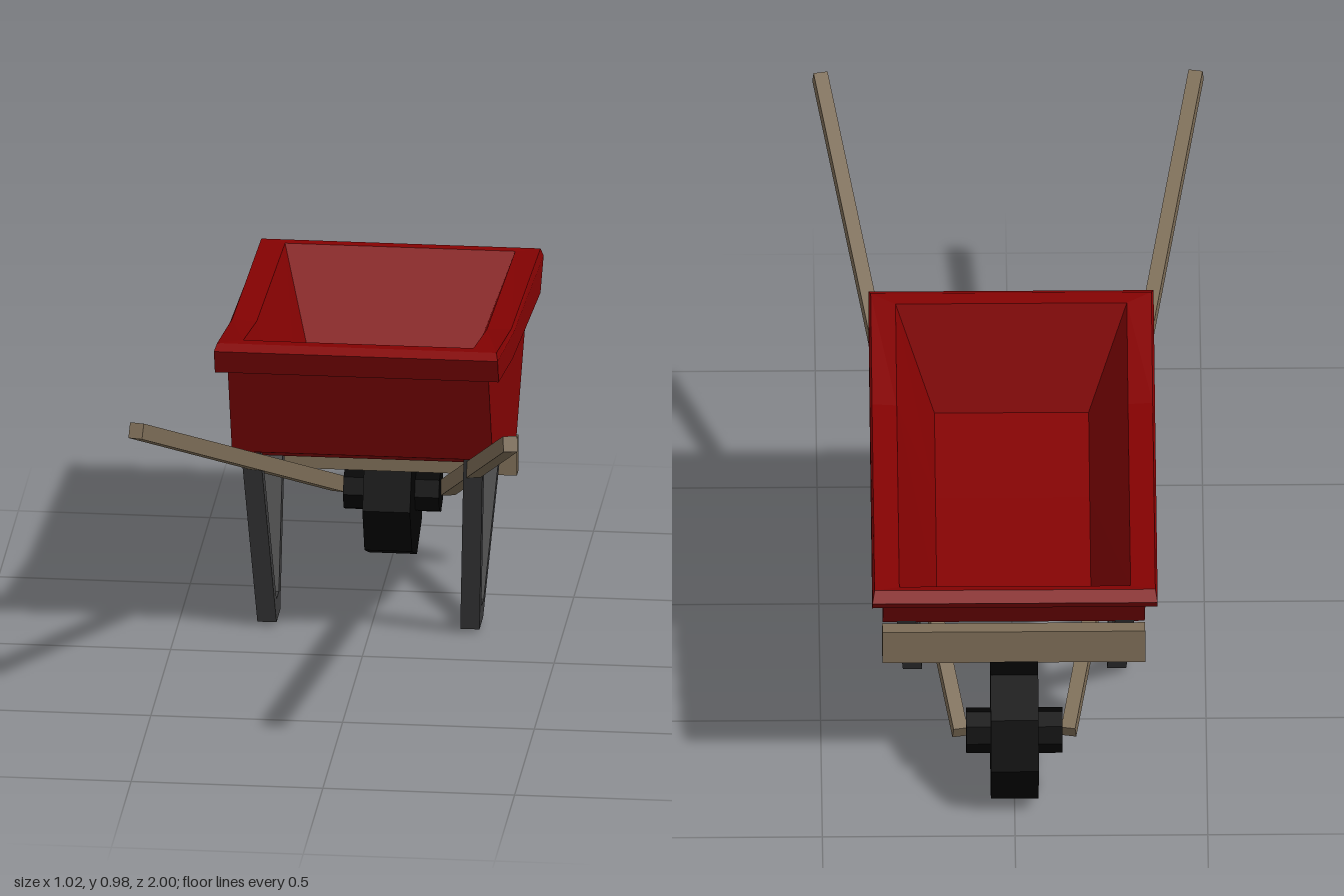
import * as THREE from 'three';

const material = (color) => new THREE.MeshStandardMaterial({ color, flatShading: true });
const red = material(0x840202);
const wood = material(0x7d6d57);
const metal = material(0x3a3a3b);
const rubber = material(0x030303);

function addMesh(parent, name, geometry, mat) {
  const mesh = new THREE.Mesh(geometry, mat);
  mesh.name = name;
  parent.add(mesh);
  return mesh;
}

// Tray: six-cornered rings running from the underside, around the lip and down to the inner floor.
// Each ring is a half width followed by [z, y] at the front, the kink and the back.
function trayGeometry() {
  const rings = [
    [0.34, [0, 0.555], [-0.21, 0.47], [-0.59, 0.388]],
    [0.34, [0.11, 0.825], [-0.22, 0.762], [-0.893, 0.7]],
    [0.37, [0.14, 0.823], [-0.22, 0.758], [-0.92, 0.684]],
    [0.37, [0.167, 0.89], [-0.24, 0.822], [-1.0, 0.758]],
    [0.364, [0.14, 0.904], [-0.24, 0.832], [-0.978, 0.785]],
    [0.3, [0.1, 0.9], [-0.24, 0.828], [-0.958, 0.782]],
    [0.2, [0, 0.62], [-0.3, 0.57], [-0.688, 0.525]],
  ];
  const positions = [];
  const index = [];
  for (const [w, front, kink, back] of rings) {
    for (const p of [front, kink, back]) positions.push(w, p[1], p[0]);
    for (const p of [back, kink, front]) positions.push(-w, p[1], p[0]);
  }
  const quad = (a, b, c, d) => index.push(a, b, c, a, c, d);
  for (let r = 0; r < rings.length - 1; r++) {
    for (let i = 0; i < 6; i++) {
      const j = (i + 1) % 6;
      quad(r * 6 + i, r * 6 + j, r * 6 + 6 + j, r * 6 + 6 + i);
    }
  }
  // Underside and inner floor, two panels each
  quad(0, 5, 4, 1);
  quad(1, 4, 3, 2);
  const f = (rings.length - 1) * 6;
  quad(f, f + 1, f + 4, f + 5);
  quad(f + 1, f + 2, f + 3, f + 4);

  const geometry = new THREE.BufferGeometry();
  geometry.setAttribute('position', new THREE.Float32BufferAttribute(positions, 3));
  geometry.setIndex(index);
  const flat = geometry.toNonIndexed();
  flat.computeVertexNormals();
  return flat;
}

// V-shaped leg profile in [z, y], extruded across x and leaning outwards with height
function legGeometry(side) {
  const outline = [
    [-0.03, 0.565], [-0.203, 0.012], [-0.297, 0.012], [-0.602, 0.4],
    [-0.55, 0.4], [-0.287, 0.066], [-0.229, 0.066], [-0.074, 0.565],
  ];
  const shape = new THREE.Shape(outline.map(([z, y]) => new THREE.Vector2(-z, y)));
  const geometry = new THREE.ExtrudeGeometry(shape, { depth: 0.05, bevelEnabled: false });
  geometry.translate(0, 0, -0.025);
  geometry.rotateY(Math.PI / 2);
  const pos = geometry.attributes.position;
  for (let i = 0; i < pos.count; i++) {
    pos.setX(i, pos.getX(i) + side * (0.264 + 0.048 * pos.getY(i)) - 0.005);
  }
  geometry.computeVertexNormals();
  return geometry;
}

// Rectangular bar between two points
function addBar(parent, name, from, to, width, height, mat) {
  const bar = addMesh(parent, name, new THREE.BoxGeometry(width, height, from.distanceTo(to)), mat);
  bar.position.copy(from).lerp(to, 0.5);
  bar.lookAt(to);
}

export function createModel() {
  const model = new THREE.Group();
  model.name = 'wheelbarrow';

  addMesh(model, 'tray', trayGeometry(), red);

  // Handles and legs on both sides
  for (const [side, label] of [[1, 'left'], [-1, 'right']]) {
    addBar(model, label + 'Handle',
      new THREE.Vector3(side * 0.141, 0.183, -0.795),
      new THREE.Vector3(side * 0.488, 0.967, 0.991), 0.037, 0.041, wood);
    addMesh(model, label + 'Leg', legGeometry(side), metal);
  }

  // Crossbar between the tray and the wheel
  addMesh(model, 'crossbar', new THREE.BoxGeometry(0.682, 0.1, 0.038), wood)
    .position.set(0, 0.343, -0.622);

  // Eight-sided wheel with its hub
  const wheel = new THREE.Group();
  wheel.name = 'wheel';
  wheel.position.set(0, 0.18, -0.782);
  for (const [name, radius, width] of [['tire', 0.179, 0.124], ['hub', 0.06, 0.25]]) {
    const geometry = new THREE.CylinderGeometry(radius, radius, width, 8);
    geometry.rotateZ(Math.PI / 2);
    addMesh(wheel, name, geometry, rubber);
  }
  model.add(wheel);

  return model;
}
